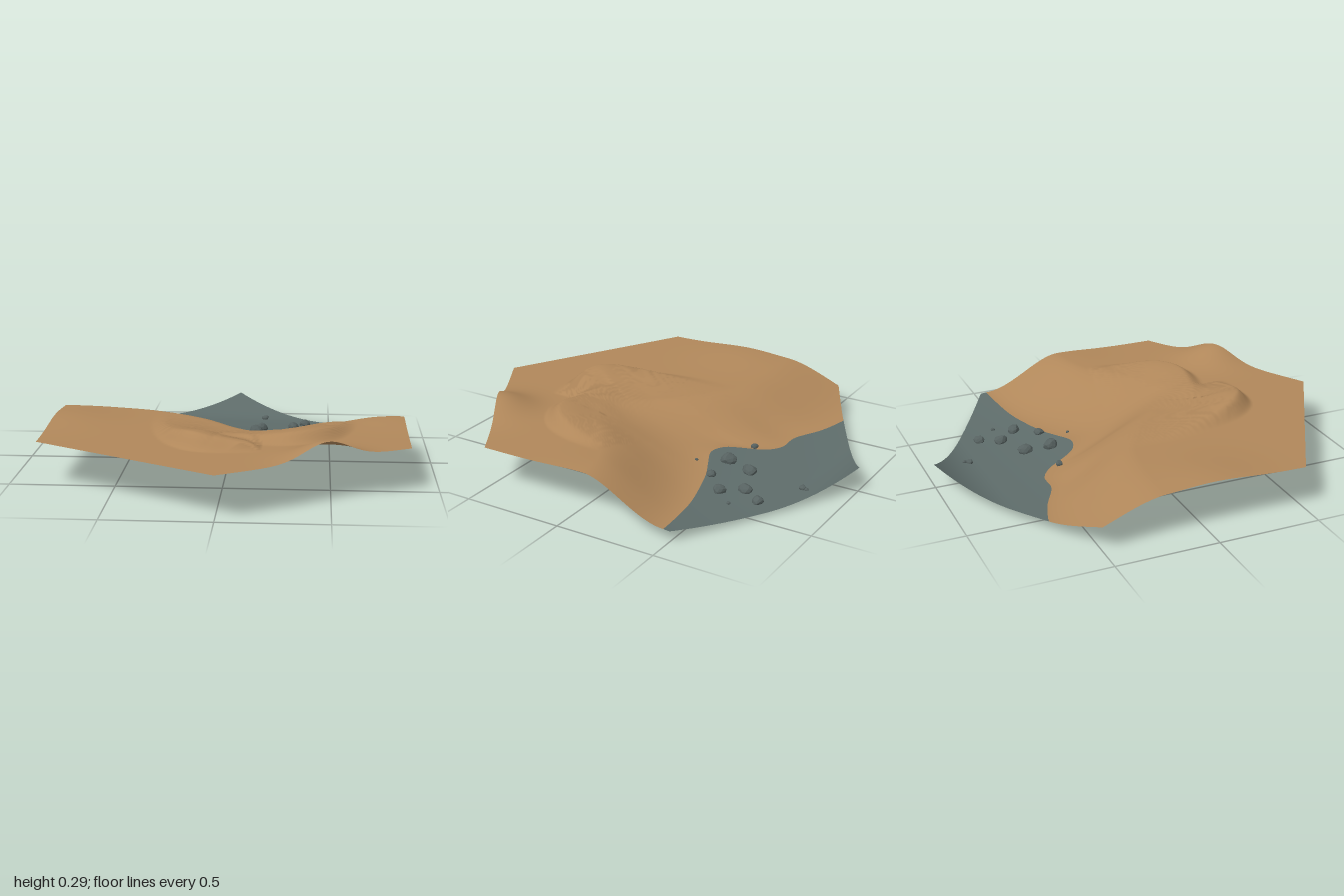
import * as THREE from 'three';

const { smoothstep, lerp, clamp } = THREE.MathUtils;
const HALF = Math.sqrt(3) / 2;

// Turns a few (x, z) points into a smooth lookup z(x)
function profile(points) {
  const pts = new THREE.SplineCurve(points.map(p => new THREE.Vector2(...p))).getPoints(240);
  return x => {
    let i = 1;
    while (i < pts.length - 1 && pts[i].x < x) i++;
    const a = pts[i - 1], b = pts[i];
    return lerp(a.y, b.y, clamp((x - a.x) / (b.x - a.x), 0, 1));
  };
}

// Outline of the hexagonal tile, the shoreline and the top of the bank
const edge = x => 1 - Math.abs(x) / Math.sqrt(3);
const shoreLine = profile([[-0.87, -0.72], [-0.6, -0.65], [-0.45, -0.6], [-0.3, -0.525], [-0.18, -0.515],
  [-0.1, -0.46], [-0.05, -0.38], [0.01, -0.3], [0.1, -0.27], [0.2, -0.31], [0.3, -0.355],
  [0.45, -0.4], [0.6, -0.435], [0.87, -0.47]]);
const bankTop = profile([[-0.87, -0.2], [-0.6, -0.18], [-0.35, -0.12], [-0.1, 0.06], [0.13, 0.3],
  [0.3, 0.26], [0.5, 0.1], [0.7, -0.02], [0.87, -0.05]]);

// Crescent dunes: gentle on the inside, a steep slip face outside
function dune(points, height, peak) {
  const crest = new THREE.SplineCurve(points.map(p => new THREE.Vector2(...p))).getPoints(90);
  return (x, z) => {
    let best = 0, bd = Infinity;
    crest.forEach((c, i) => {
      const d = (c.x - x) ** 2 + (c.y - z) ** 2;
      if (d < bd) { bd = d; best = i; }
    });
    const a = crest[Math.max(best - 1, 0)], b = crest[Math.min(best + 1, crest.length - 1)];
    const side = (b.x - a.x) * (z - a.y) - (b.y - a.y) * (x - a.x);
    const d = Math.sqrt(bd);
    const amp = height * Math.sin(Math.PI * (best / (crest.length - 1)) ** peak);
    return amp * (side > 0 ? 1 - smoothstep(d, 0, 0.085) : Math.exp(-((d / 0.19) ** 2)));
  };
}
const dunes = [
  dune([[-0.31, -0.18], [-0.3, 0.1], [-0.25, 0.33], [-0.17, 0.49], [-0.05, 0.56], [0.18, 0.54]], 0.072, 1.8),
  dune([[-0.1, 0.29], [0.07, 0.38], [0.2, 0.42], [0.33, 0.43], [0.45, 0.36], [0.52, 0.22], [0.56, 0.02]], 0.055, 1.3),
];
const mound = (x, z, cx, cz, h, r) => h * Math.exp(-((x - cx) ** 2 + (z - cz) ** 2) / (r * r));

// Shallow basin, deepest off-centre and curling up at the back corner
function basin(x, z) {
  const dx = x - 0.42, dz = z + 0.75;
  return 0.005 + (dx > 0 ? 0.12 : 0.03) * dx * dx + (dz > 0 ? 0.2 : 1.6) * dz * dz;
}

function ground(x, z) {
  const s = shoreLine(x);
  const low = basin(x, Math.min(z, s));
  const rise = smoothstep(z, s, bankTop(x));
  let y = lerp(low, 0.196, rise);
  if (rise > 0) {
    const extra = dunes.reduce((sum, f) => sum + f(x, z), 0)
      + mound(x, z, 0.48, 0.72, 0.082, 0.16)
      + mound(x, z, -0.8, 0.04, 0.024, 0.24)
      + mound(x, z, 0.8, -0.03, 0.014, 0.2);
    y += extra * rise;
  }
  return y;
}

// Sheet across the tile between two z lines
function sheet(name, back, front, rows, material) {
  const geo = new THREE.PlaneGeometry(1, 1, 120, rows);
  const pos = geo.attributes.position, uv = geo.attributes.uv, nor = geo.attributes.normal;
  const n = new THREE.Vector3(), e = 0.004;
  for (let i = 0; i < pos.count; i++) {
    const x = lerp(-HALF, HALF, uv.getX(i));
    const z = lerp(front(x), back(x), uv.getY(i));
    pos.setXYZ(i, x, ground(x, z), z);
    n.set(ground(x - e, z) - ground(x + e, z), 2 * e, ground(x, z - e) - ground(x, z + e)).normalize();
    nor.setXYZ(i, n.x, n.y, n.z);
  }
  const mesh = new THREE.Mesh(geo, material);
  mesh.name = name;
  return mesh;
}

// Irregular faceted stone
function stone(x, z, r, seed, material) {
  const geo = new THREE.IcosahedronGeometry(r, 1);
  const pos = geo.attributes.position, v = new THREE.Vector3();
  for (let i = 0; i < pos.count; i++) {
    v.fromBufferAttribute(pos, i);
    const k = 1 + 0.16 * Math.sin(v.x / r * 3.1 + seed * 2.3) * Math.cos(v.z / r * 2.7 + v.y / r * 2 + seed);
    pos.setXYZ(i, v.x * k, v.y * k, v.z * k);
  }
  geo.computeVertexNormals();
  const mesh = new THREE.Mesh(geo, material);
  mesh.name = 'stone';
  mesh.scale.set(0.95, 0.85, 1.08);
  mesh.rotation.y = seed * 1.7;
  mesh.position.set(x, ground(x, z) + r * 0.25, z);
  return mesh;
}

export function createModel() {
  const sand = new THREE.MeshStandardMaterial({ color: 0xb0875a, side: THREE.DoubleSide });
  sand.name = 'sand';
  const silt = new THREE.MeshStandardMaterial({ color: 0x5e6c6a, side: THREE.DoubleSide });
  silt.name = 'grey basin';
  const rock = new THREE.MeshStandardMaterial({ color: 0x566160, flatShading: true });
  rock.name = 'rock';

  const model = new THREE.Group();
  model.name = 'duneTile';
  const shore = x => Math.max(shoreLine(x), -edge(x));
  model.add(sheet('sandDunes', shore, edge, 130, sand));
  model.add(sheet('basinFloor', x => -edge(x), shore, 40, silt));

  // Stones scattered over the basin: x, z, radius
  const stones = new THREE.Group();
  stones.name = 'stones';
  [[0.148, -0.785, 0.017], [0.157, -0.81, 0.01], [0.37, -0.668, 0.027], [0.31, -0.572, 0.031],
    [0.46, -0.565, 0.01], [0.386, -0.478, 0.031], [0.14, -0.502, 0.034], [0.115, -0.375, 0.036],
    [0.285, -0.375, 0.023], [-0.09, -0.407, 0.019], [0.206, -0.25, 0.008],
  ].forEach(([x, z, r], i) => stones.add(stone(x, z, r, i + 1, rock)));
  model.add(stones);
  return model;
}
